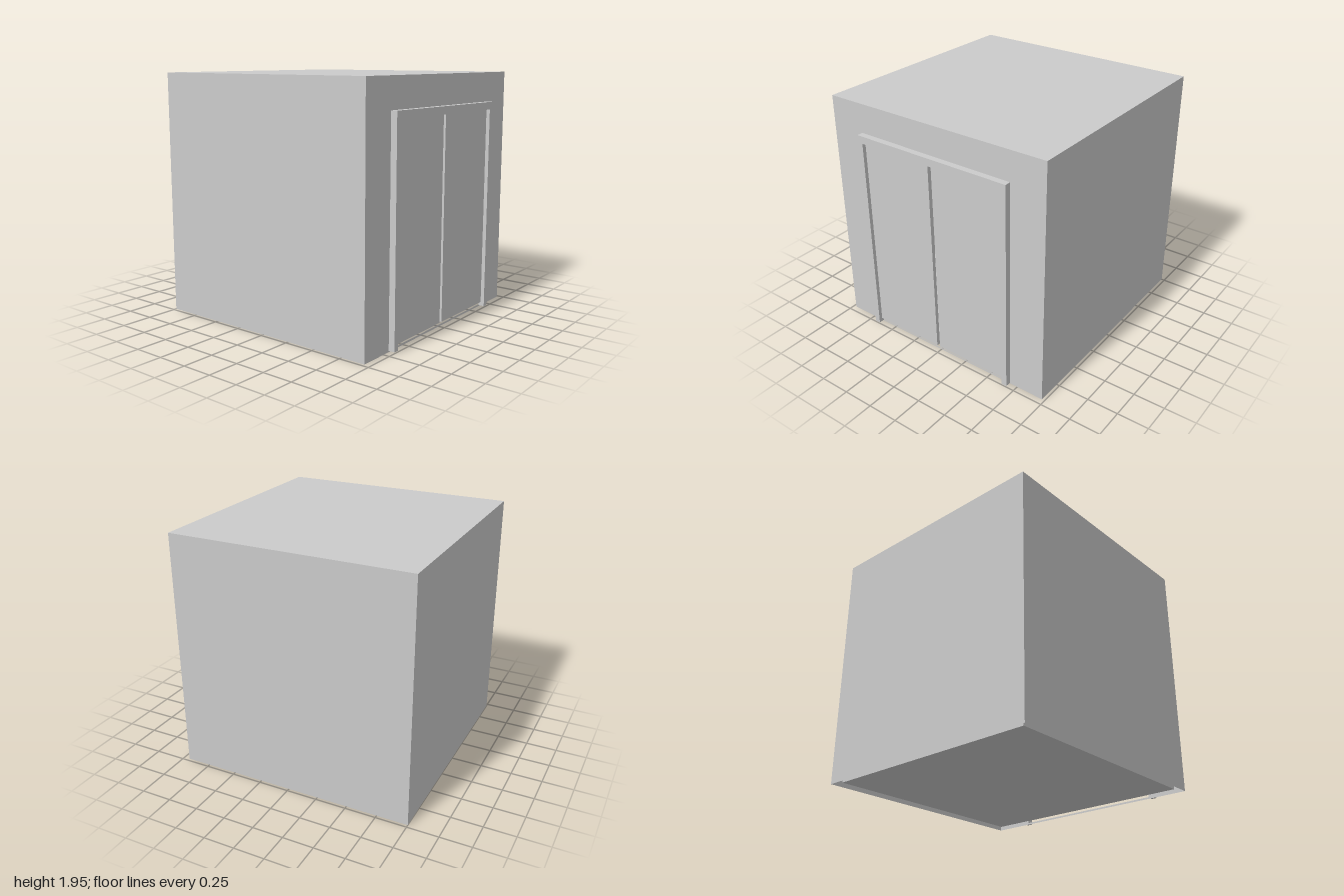
import * as THREE from 'three';

export function createModel() {
  const model = new THREE.Group();
  const grey = new THREE.MeshStandardMaterial({ color: 0xcccccc, flatShading: true });
  const thin = new THREE.MeshStandardMaterial({ color: 0xcccccc, flatShading: true, side: THREE.DoubleSide });

  const L = -1, R = 0.95, H = 1.95, D = 0.975; // shell bounds
  const doorHalf = 0.64, doorTop = 1.655, sill = 0.015;

  function add(name, geometry, material = grey) {
    const mesh = new THREE.Mesh(geometry, material);
    mesh.name = name;
    model.add(mesh);
    return mesh;
  }
  // box given by its minimum and maximum corners
  function block(name, x0, x1, y0, y1, z0, z1) {
    return add(name, new THREE.BoxGeometry(x1 - x0, y1 - y0, z1 - z0))
      .position.set((x0 + x1) / 2, (y0 + y1) / 2, (z0 + z1) / 2);
  }
  const rectangle = (Type, half, y0, y1) => new Type([
    new THREE.Vector2(-half, y0), new THREE.Vector2(half, y0),
    new THREE.Vector2(half, y1), new THREE.Vector2(-half, y1),
  ]);

  // thin outer shell, open underneath
  const cx = (L + R) / 2, W = R - L;
  add('roof', new THREE.PlaneGeometry(W, 2 * D).rotateX(-Math.PI / 2).translate(cx, H, 0), thin);
  for (const s of [1, -1]) {
    const wall = new THREE.PlaneGeometry(W, H);
    if (s < 0) wall.rotateY(Math.PI);
    add(s > 0 ? 'frontWall' : 'rearWall', wall.translate(cx, H / 2, s * D), thin);
  }
  add('farWall', new THREE.PlaneGeometry(2 * D, H).rotateY(-Math.PI / 2).translate(L, H / 2, 0), thin);

  // wall with the doorway cut out
  const doorWall = rectangle(THREE.Shape, D, 0, H);
  doorWall.holes.push(rectangle(THREE.Path, doorHalf, sill, doorTop));
  add('doorWall', new THREE.ShapeGeometry(doorWall).rotateY(Math.PI / 2).translate(R, 0, 0), thin);

  // raised door surround: two jambs and a lintel in one piece
  const outer = 0.685, top = 1.715, foot = 0.01;
  const surround = new THREE.Shape([
    [-outer, foot], [-doorHalf, foot], [-doorHalf, doorTop], [doorHalf, doorTop],
    [doorHalf, foot], [outer, foot], [outer, top], [-outer, top],
  ].map(([x, y]) => new THREE.Vector2(x, y)));
  add('doorSurround', new THREE.ExtrudeGeometry(surround, { depth: 0.05, bevelEnabled: false })
    .rotateY(Math.PI / 2).translate(R, 0, 0));

  // sliding doors with a narrow gap between them
  block('leftDoor', 0.94, 0.97, 0.04, doorTop, 0.025, doorHalf);
  block('rightDoor', 0.94, 0.97, 0.04, doorTop, -doorHalf, -0.005);

  // floor slab, set in from the shell on all sides
  block('floor', -0.94, 0.89, 0.014, 0.1, -0.915, 0.915);

  // handrail on the far wall inside
  block('railBoard', L + 0.01, L + 0.04, 0.575, 0.735, -0.85, 0.85);
  add('handrail', new THREE.CylinderGeometry(0.02, 0.02, 1.6, 12).rotateX(Math.PI / 2)
    .translate(L + 0.08, 0.66, 0));

  return model;
}
